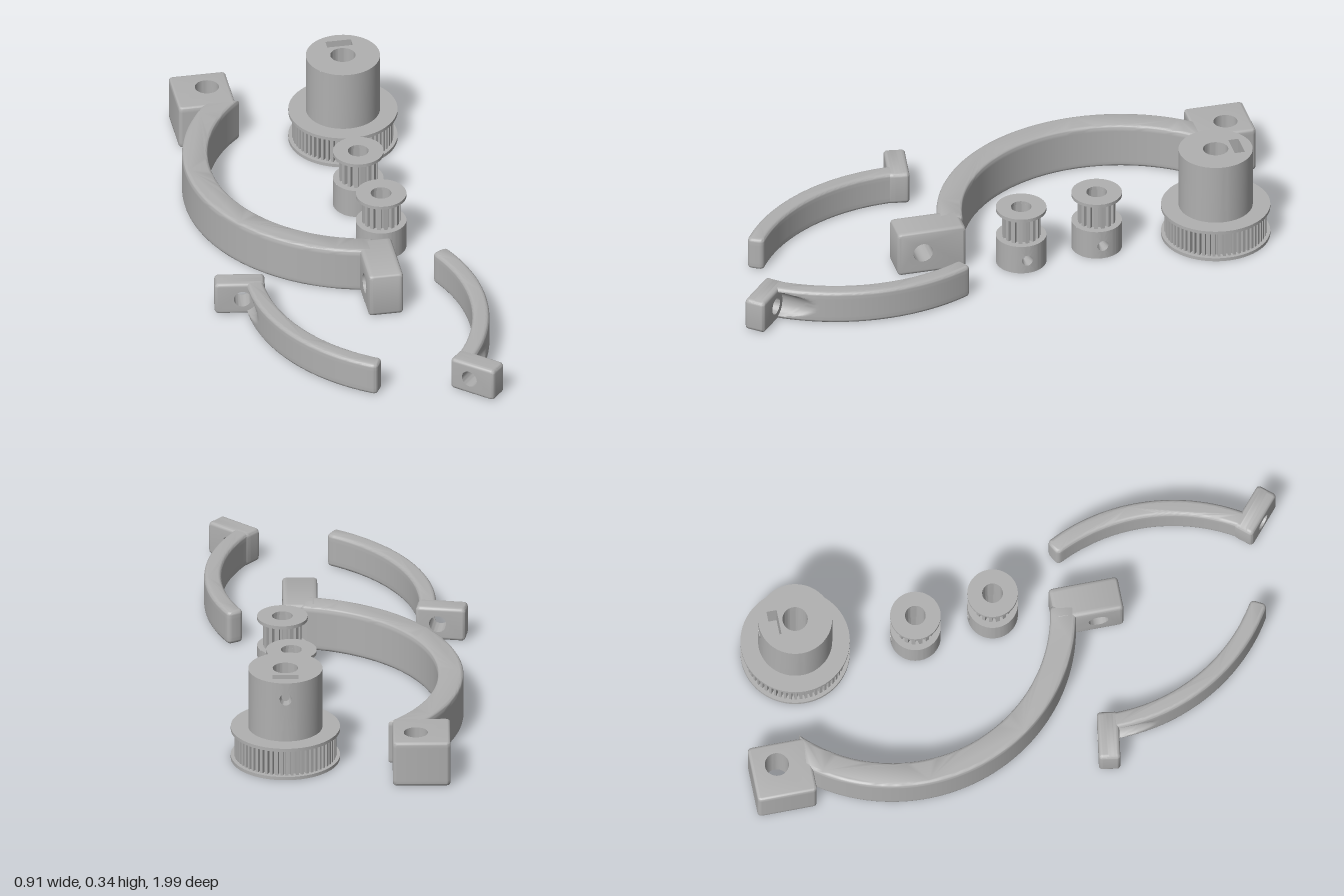
import * as THREE from 'three';
import { mergeGeometries, toCreasedNormals } from 'three/addons/utils/BufferGeometryUtils.js';

const grey = new THREE.MeshStandardMaterial({ color: 0xb0b0b0 });
grey.name = 'plain grey';
const V2 = (x, y) => new THREE.Vector2(x, y);
const rad = THREE.MathUtils.degToRad;

// ---- geometry helpers ----
function join(list) {
  return mergeGeometries(list.map((g) => {
    const n = g.index ? g.toNonIndexed() : g;
    const out = new THREE.BufferGeometry();
    out.setAttribute('position', n.getAttribute('position'));
    return out;
  }));
}

function part(name, geo) {
  const mesh = new THREE.Mesh(toCreasedNormals(geo, 0.6), grey);
  mesh.name = name;
  return mesh;
}

function flip(geo) {
  const a = geo.index.array;
  for (let i = 0; i < a.length; i += 3) [a[i], a[i + 1]] = [a[i + 1], a[i]];
  return geo;
}

// Closed strips between equal-length rings of points
function loft(rings) {
  const n = rings[0].length, idx = [];
  for (let k = 0; k < rings.length - 1; k++) {
    for (let i = 0; i < n; i++) {
      const j = (i + 1) % n, a = k * n + i, b = k * n + j;
      idx.push(a, b, b + n, a, b + n, a + n);
    }
  }
  const g = new THREE.BufferGeometry().setFromPoints(rings.flat());
  g.setIndex(idx);
  return g;
}

function inset(pts, t) {
  const left = (a, b) => V2(a.y - b.y, b.x - a.x).normalize();
  return pts.map((p, i) => {
    const a = left(pts.at(i - 1), p), b = left(p, pts[(i + 1) % pts.length]);
    return p.clone().addScaledVector(a.clone().add(b), t / (1 + a.dot(b)));
  });
}

// Prism along z with rounded rims and an optional round through hole {x, y, r}
function prism(pts, depth, f, hole) {
  const rings = [];
  const ring = (t, z) => rings.push(inset(pts, t).map((p) => new THREE.Vector3(p.x, p.y, z)));
  for (let k = 0; k <= 4; k++) ring(f * (1 - Math.sin(k * Math.PI / 8)), f * (1 - Math.cos(k * Math.PI / 8)));
  for (let k = 1; k < 14; k++) ring(0, f + (depth - 2 * f) * k / 14);
  for (let k = 4; k >= 0; k--) ring(f * (1 - Math.sin(k * Math.PI / 8)), depth - f * (1 - Math.cos(k * Math.PI / 8)));
  const face = new THREE.Shape(inset(pts, f));
  const list = [loft(rings)];
  if (hole) {
    face.holes.push(new THREE.Path().absarc(hole.x, hole.y, hole.r, 0, Math.PI * 2, true));
    const tube = new THREE.CylinderGeometry(hole.r, hole.r, depth, 32, 1, true);
    list.push(flip(tube.rotateX(Math.PI / 2).translate(hole.x, hole.y, depth / 2)));
  }
  list.push(new THREE.ShapeGeometry(face, 16).translate(0, 0, depth), flip(new THREE.ShapeGeometry(face, 16)));
  return join(list);
}

function roundRect(x0, y0, x1, y1, r) {
  const pts = [];
  [[x1 - r, y1 - r], [x0 + r, y1 - r], [x0 + r, y0 + r], [x1 - r, y0 + r]].forEach(([x, y], q) => {
    for (let k = 0; k <= 4; k++) {
      const a = (q + k / 4) * Math.PI / 2;
      pts.push(V2(x + r * Math.cos(a), y + r * Math.sin(a)));
    }
  });
  return pts;
}

// Curved arm outline; its end at angle e has rounded corners
function armOutline(ri, ro, outerStart, innerStart, e, c = 0.016) {
  const pts = [], polar = (r, a) => pts.push(V2(r * Math.cos(a), r * Math.sin(a)));
  const n = 56, dO = c / ro, dI = c / ri;
  for (let i = 0; i < n; i++) polar(ro, outerStart + (e - dO - outerStart) * i / n);
  for (let k = 0; k <= 4; k++) polar(ro - c + c * Math.cos(k * Math.PI / 8), e - dO + dO * Math.sin(k * Math.PI / 8));
  for (let k = 4; k >= 0; k--) polar(ri + c - c * Math.cos(k * Math.PI / 8), e - dI + dI * Math.sin(k * Math.PI / 8));
  for (let i = n - 1; i >= 0; i--) polar(ri, innerStart + (e - dI - innerStart) * i / n);
  return pts;
}

// ---- large half-ring bracket ----
function largeBracket() {
  const g = new THREE.Group(), h = 0.165;
  g.name = 'largeBracket';
  const arm = prism(armOutline(0.55, 0.64, rad(-220), rad(-227), rad(-98)), h, 0.012);
  g.add(part('largeArm', arm.rotateX(-Math.PI / 2).translate(0.2, 0, -0.41)));
  const top = prism(roundRect(-0.39, 0.79, -0.19, 1, 0.014), h, 0.01, { x: -0.27, y: 0.91, r: 0.042 });
  g.add(part('verticalHoleBlock', top.rotateX(-Math.PI / 2)));
  const low = prism(roundRect(-0.385, 0, -0.14, h, 0.015), 0.122, 0.012, { x: -0.295, y: 0.083, r: 0.035 });
  g.add(part('sideHoleBlock', low.rotateY(Math.PI / 2).translate(0.063, 0, 0)));
  return g;
}

// ---- small curved bracket, origin at the centre of its arc ----
function smallBracket(name) {
  const g = new THREE.Group(), h = 0.122, turn = 0.153;
  g.name = name;
  const arm = prism(armOutline(0.63, 0.69, rad(-181), rad(-181), rad(-119.7)), h, 0.013).rotateX(-Math.PI / 2);
  // Screw head clearance scooped out of the arm beside the block
  const p = arm.getAttribute('position'), R = 0.05;
  const ux = Math.cos(turn), uz = Math.sin(turn), ax = -0.79 + 0.097 * ux, az = -0.085 + 0.097 * uz;
  for (let i = 0; i < p.count; i++) {
    const w = (p.getX(i) - ax) * ux + (p.getZ(i) - az) * uz, dy = p.getY(i) - h / 2;
    const d = Math.hypot(w, dy);
    if (d < R && d > 1e-4) {
      const s = w * (R / d - 1);
      p.setXYZ(i, p.getX(i) + s * ux, h / 2 + dy * R / d, p.getZ(i) + s * uz);
    }
  }
  g.add(part('smallArm', arm));
  const block = prism(roundRect(0, 0, 0.175, h, 0.015), 0.075, 0.012, { x: 0.097, y: h / 2, r: 0.03 });
  g.add(part('screwBlock', block.rotateY(-turn).translate(-0.79, 0, -0.085)));
  return g;
}

// ---- pulleys ----
const lathe = (pts) => new THREE.LatheGeometry(pts.map(([x, y]) => V2(x, y)), 64);
const disc = (r, b, y0, y1) => lathe([[b, y0], [r, y0], [r, y1], [b, y1], [b, y0]]);

// Round wall with screw holes drilled inward at the given angles
function drilledWall(r, y0, y1, angles, hy, hr, inner) {
  const list = [], half = hr * 1.7 / r;
  angles.forEach((c, n) => {
    const next = n + 1 < angles.length ? angles[n + 1] : angles[0] + Math.PI * 2;
    list.push(new THREE.CylinderGeometry(r, r, y1 - y0, 56, 1, true, c + half, next - c - 2 * half)
      .translate(0, (y0 + y1) / 2, 0));
    const a = half * r, lo = y0 - hy, hi = y1 - hy, corners = [[a, lo], [a, hi], [-a, hi], [-a, lo]];
    const rect = [];
    corners.forEach(([x, y], q) => {
      const [x2, y2] = corners[(q + 1) % 4];
      for (let k = 0; k < 8; k++) rect.push(V2(x + (x2 - x) * k / 8, y + (y2 - y) * k / 8));
    });
    const circle = rect.map((p) => p.clone().setLength(hr));
    const wrap = (pts, d) => pts.map((p) =>
      new THREE.Vector3(d * Math.sin(c + p.x / r), hy + p.y, d * Math.cos(c + p.x / r)));
    const mid = rect.map((p, i) => p.clone().lerp(circle[i], 0.5));
    list.push(loft([wrap(rect, r), wrap(mid, r), wrap(circle, r), wrap(circle, inner)]));
  });
  return list;
}

function gear(teeth, ro, ri, bore, y0, y1) {
  const pts = [];
  for (let i = 0; i < teeth; i++) {
    [[0, ro], [0.5, ro], [0.58, ri], [0.92, ri]].forEach(([t, r]) => {
      const a = (i + t) / teeth * Math.PI * 2;
      pts.push(V2(r * Math.cos(a), r * Math.sin(a)));
    });
  }
  const s = new THREE.Shape(pts);
  s.holes.push(new THREE.Path().absarc(0, 0, bore, 0, Math.PI * 2, true));
  return new THREE.ExtrudeGeometry(s, { depth: y1 - y0, bevelEnabled: false, curveSegments: 24 })
    .rotateX(-Math.PI / 2).translate(0, y0, 0);
}

function smallPulley(name, x, z) {
  const g = new THREE.Group(), r = 0.088, b = 0.036, h = 0.107;
  g.name = name;
  g.add(part('hub', join([lathe([[r, h], [b, h], [b, 0], [r, 0]]),
    ...drilledWall(r, 0, h, [Math.PI / 2, Math.PI], 0.05, 0.02, b)])));
  g.add(part('teeth', gear(16, 0.067, 0.054, b, h, 0.206)));
  g.add(part('topFlange', disc(r, b, 0.206, 0.218)));
  g.position.set(x, 0, z);
  return g;
}

function largePulley() {
  const g = new THREE.Group(), b = 0.044, r = 0.129, y0 = 0.12, y1 = 0.342;
  g.name = 'largePulley';
  g.add(part('bottomFlange', disc(0.19, b, 0, 0.012)));
  g.add(part('teeth', gear(60, 0.177, 0.163, b, 0.012, 0.108)));
  g.add(part('topFlange', disc(0.19, b, 0.108, y0)));
  // Hub with a bore, a nut slot in its top and a set screw hole behind the slot
  const cap = new THREE.Shape().absarc(0, 0, r, 0, Math.PI * 2);
  cap.holes.push(new THREE.Path().absarc(0, 0, b, 0, Math.PI * 2, true));
  const slot = [V2(-0.045, 0.057), V2(-0.045, 0.093), V2(0.045, 0.093), V2(0.045, 0.057)];
  cap.holes.push(new THREE.Path(slot));
  const level = (y) => slot.map((p) => new THREE.Vector3(p.x, y, -p.y));
  g.add(part('hub', join([
    new THREE.ShapeGeometry(cap, 32).rotateX(-Math.PI / 2).translate(0, y1, 0),
    lathe([[b, y1], [b, y0]]),
    loft([level(0.24), level(y1)]),
    new THREE.PlaneGeometry(0.09, 0.036).rotateX(-Math.PI / 2).translate(0, 0.24, -0.075),
    ...drilledWall(r, y0, y1, [Math.PI], 0.28, 0.022, 0.093),
  ])));
  g.position.set(0.182, 0, -0.756);
  return g;
}

export function createModel() {
  const model = new THREE.Group();
  model.name = 'pulleyAndBracketSet';
  const left = smallBracket('smallBracketA');
  left.position.set(0.34, 0, 0.28);
  const right = smallBracket('smallBracketB');
  right.position.set(-0.235, 0, 0.5);
  right.rotation.y = rad(148);
  model.add(largeBracket(), left, right, largePulley(),
    smallPulley('smallPulleyA', 0.158, -0.335), smallPulley('smallPulleyB', 0.187, -0.056));
  return model;
}
